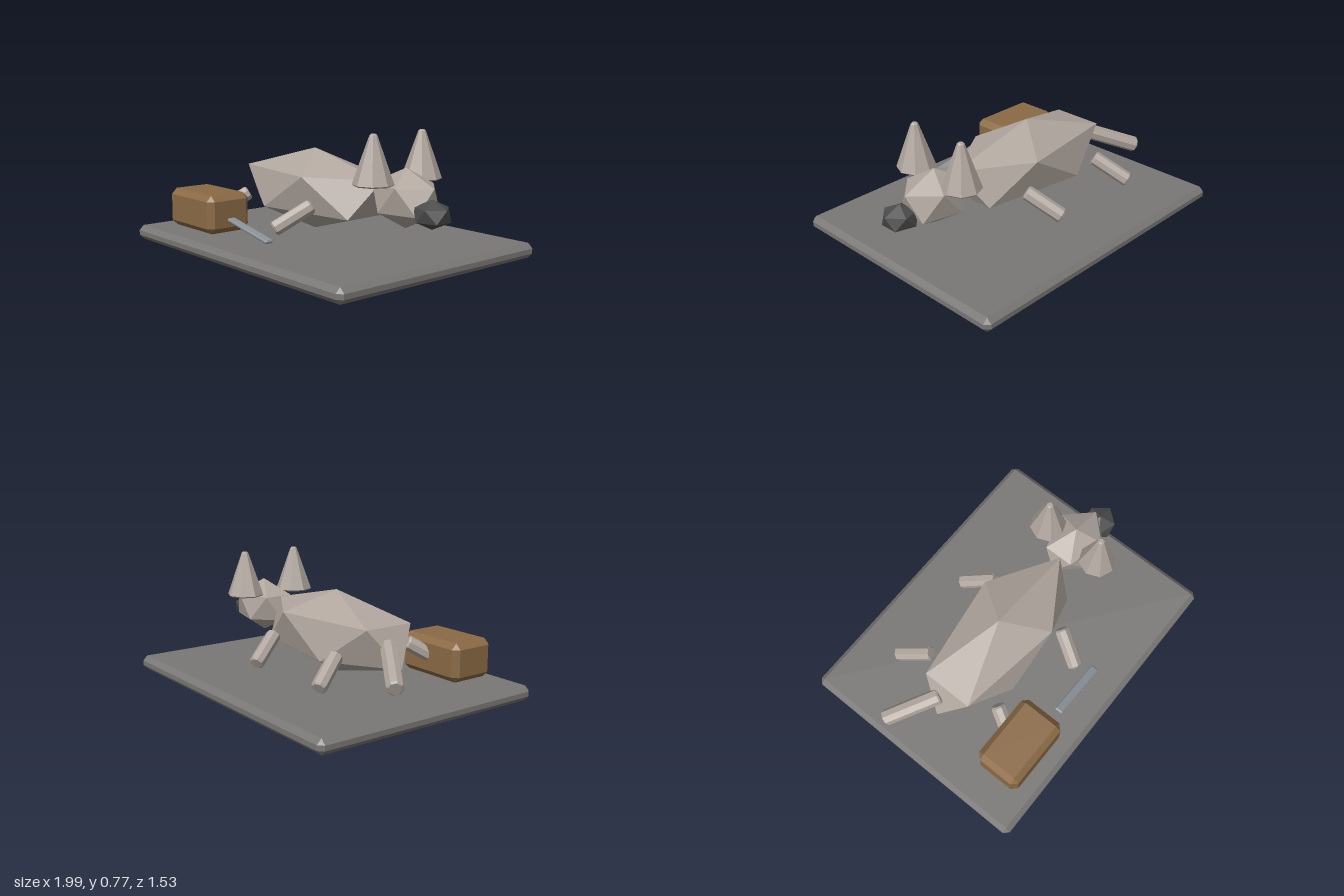
import * as THREE from 'three';
import { ConvexGeometry } from 'three/addons/geometries/ConvexGeometry.js';

const material = (color) => new THREE.MeshStandardMaterial({ color, flatShading: true });

// Box with all edges and corners chamfered by b
function chamferBox(w, h, d, b) {
  const half = [w / 2, h / 2, d / 2];
  const points = [];
  for (const sx of [-1, 1]) for (const sy of [-1, 1]) for (const sz of [-1, 1])
    for (let axis = 0; axis < 3; axis++) {
      const c = half.map((v, i) => (i === axis ? v : v - b));
      points.push(new THREE.Vector3(sx * c[0], sy * c[1], sz * c[2]));
    }
  return new ConvexGeometry(points);
}

// Stretched icosahedron: two poles, upper ring pointing to +x, lower ring to -x
function gem(rx, ry, rz) {
  const points = [new THREE.Vector3(0, ry, 0), new THREE.Vector3(0, -ry, 0)];
  const ringRadius = 2 / Math.sqrt(5), ringHeight = 1 / Math.sqrt(5);
  for (let k = 0; k < 5; k++)
    for (const s of [1, -1]) {
      const a = (k * 2 * Math.PI) / 5;
      points.push(new THREE.Vector3(
        s * ringRadius * Math.cos(a) * rx, s * ringHeight * ry, ringRadius * Math.sin(a) * rz));
    }
  return new ConvexGeometry(points);
}

// Eight-sided closed cone or cylinder with bevelled rims, standing on y = 0
function post(bottom, top, height, b) {
  const profile = [[0, 0], [bottom - b, 0], [bottom, b], [top, height - b], [top - b, height], [0, height]];
  return new THREE.LatheGeometry(profile.map(([x, y]) => new THREE.Vector2(x, y)), 8);
}

export function createModel() {
  const group = new THREE.Group();
  const fur = material(0xb0a69e), stone = material(0x7a7876), dark = material(0x4c4c4c);
  const wood = material(0x8b6a45), metal = material(0x8b9299);

  function add(name, geometry, mat, x, y, z) {
    const mesh = new THREE.Mesh(geometry, mat);
    mesh.name = name;
    mesh.position.set(x, y, z);
    group.add(mesh);
    return mesh;
  }

  // Post laid between two points
  function limb(name, from, to, r) {
    const a = new THREE.Vector3(...from), dir = new THREE.Vector3(...to).sub(a);
    const mesh = add(name, post(r, r, dir.length(), 0.01), fur, ...from);
    mesh.quaternion.setFromUnitVectors(new THREE.Vector3(0, 1, 0), dir.normalize());
  }

  // Ground slab
  add('slab', chamferBox(1.99, 0.09, 1.535, 0.03), stone, -0.005, 0.045, 0);

  // Animal
  add('body', gem(0.67, 0.2525, 0.305), fur, -0.12, 0.363, 0);
  add('head', gem(0.24, 0.172, 0.18), fur, 0.655, 0.4, -0.016);
  add('nose', gem(0.12, 0.083, 0.109), dark, 0.885, 0.343, 0.014);
  for (const [side, s] of [['left', 1], ['right', -1]]) {
    add(side === 'left' ? 'frontEar' : 'backEar', post(0.117, 0.022, 0.285, 0.008), fur, 0.605, 0.485, s * 0.19);
    for (const [end, x] of [['front', 0], ['rear', -0.625]])
      limb(`${end}Leg${s > 0 ? 'Near' : 'Far'}`, [x + 0.165, 0.32, s * 0.262], [x + 0.06, 0.19, s * 0.46], 0.046);
  }
  limb('tail', [-0.635, 0.38, -0.03], [-0.935, 0.237, -0.235], 0.05);

  // Crate and metal bar beside the animal
  add('crate', chamferBox(0.467, 0.235, 0.298, 0.035), wood, -0.547, 0.232, 0.504);
  add('bar', chamferBox(0.39, 0.022, 0.054, 0.007), metal, -0.045, 0.18, 0.556).rotation.z = -0.19;

  return group;
}
